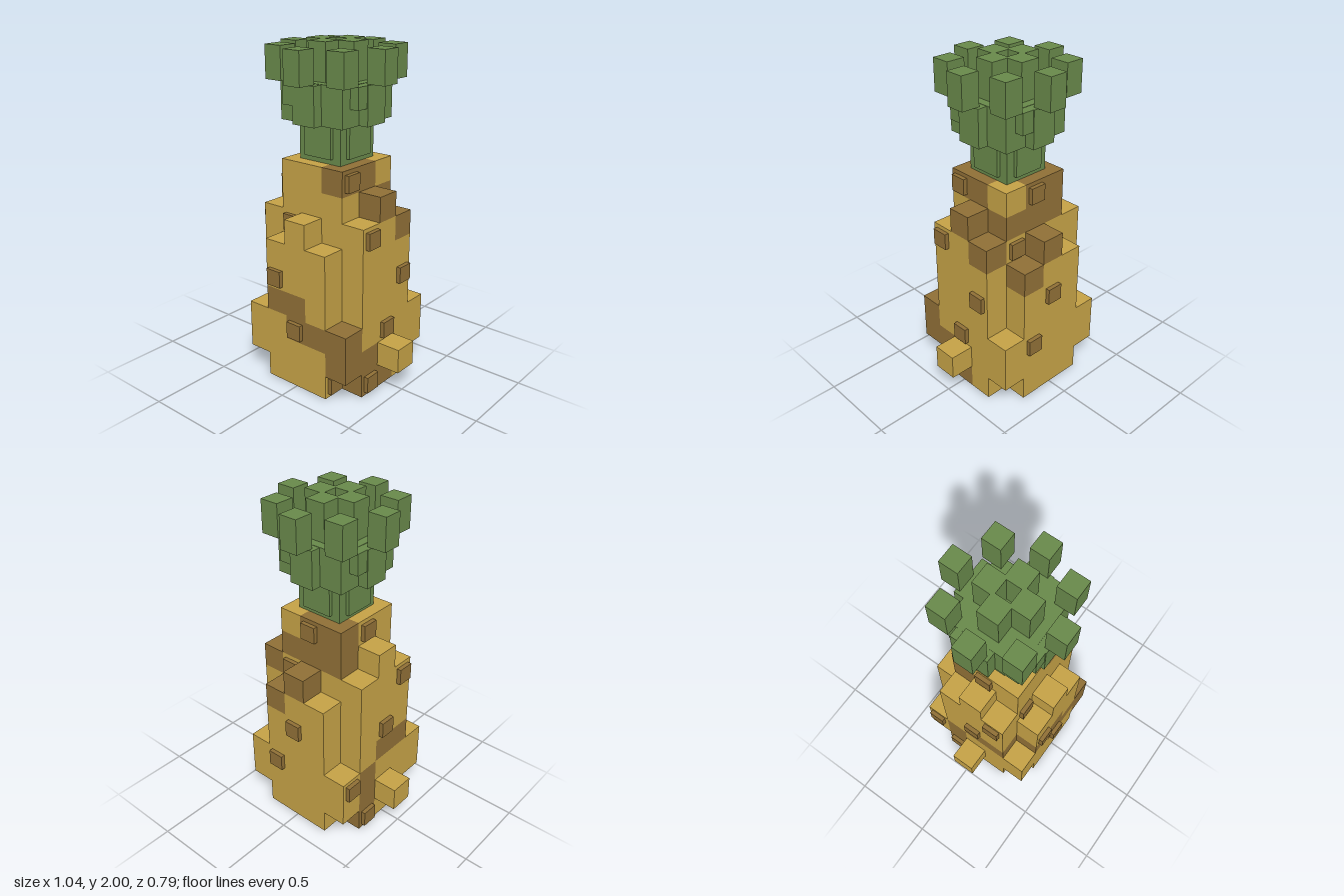
import * as THREE from 'three';
import { mergeGeometries } from 'three/addons/utils/BufferGeometryUtils.js';

const V = 1.333 / 9; // edge of one body block

const material = (name, color) => {
  const m = new THREE.MeshStandardMaterial({ color });
  m.name = name;
  return m;
};

// Box from minimum and maximum corners
function box(x0, x1, y0, y1, z0, z1) {
  return new THREE.BoxGeometry(x1 - x0, y1 - y0, z1 - z0)
    .translate((x0 + x1) / 2, (y0 + y1) / 2, (z0 + z1) / 2);
}

// Stepped fruit silhouette on a block grid (i = x, j = y, k = z)
function filled(i, j, k) {
  const a = Math.abs(i), b = Math.abs(k);
  if (j < 0) return false;
  if (a <= 1 && b <= 1) return j <= 8;
  if (a === 2 && b === 2) return j === 1 || j === 2;
  if (a === 2 && b < 2) return j <= (b === 0 ? 7 : 6);
  if (b === 2 && a < 2) return j <= (a === 0 ? 6 : 5);
  return a === 3 && b === 0 && j === 1;
}

// Blocks that belong to the dark patches
const PATCHES = new Set([
  '2,0,1', '2,0,0', '2,1,1', '2,1,2', '2,2,2', '1,2,2', '0,2,2',
  '0,3,2', '-1,3,2', '-2,3,1', '-2,3,0', '-2,2,-1', '-2,1,-1', '-2,0,-1',
  '1,5,-2', '0,6,-2', '2,6,-1', '2,7,0', '1,7,-1', '0,7,-1', '-1,7,-1',
  '1,8,1', '1,8,0', '0,8,-1', '-1,8,-1',
]);

const SIDES = [[1, 0, 0], [-1, 0, 0], [0, 1, 0], [0, -1, 0], [0, 0, 1], [0, 0, -1]];

// Square face turned towards one of the six directions
function face([dx, dy, dz], i, j, k) {
  const g = new THREE.PlaneGeometry(V, V);
  if (dy) g.rotateX(-dy * Math.PI / 2);
  else g.rotateY(Math.atan2(dx, dz));
  return g.translate((i + dx / 2) * V, (j + 0.5 + dy / 2) * V, (k + dz / 2) * V);
}

// Outer faces of the fruit, sorted by skin colour
function bodyFaces() {
  const light = [], dark = [];
  for (let i = -3; i <= 3; i++)
    for (let j = 0; j <= 8; j++)
      for (let k = -2; k <= 2; k++) {
        if (!filled(i, j, k)) continue;
        const list = PATCHES.has(`${i},${j},${k}`) ? dark : light;
        for (const d of SIDES)
          if (!filled(i + d[0], j + d[1], k + d[2])) list.push(face(d, i, j, k));
      }
  return { light, dark };
}

// Small studs: block i, j, k and the direction they stick out
const STUDS = [
  [-1, 6, 1, 0, 1], [-1, 4, 2, 0, 1], [0, 2, 2, 0, 1],
  [0, 4, -2, 0, -1], [1, 2, -2, 0, -1], [1, 6, -1, 0, -1], [0, 8, -1, 0, -1],
  [1, 0, 2, 1, 0], [2, 0, 1, 1, 0], [2, 2, 0, 1, 0], [2, 4, -1, 1, 0],
  [2, 6, 1, 1, 0], [1, 8, 1, 1, 0],
  [-2, 0, -1, -1, 0], [-2, 2, -2, -1, 0], [-2, 4, 0, -1, 0],
  [-2, 6, 1, -1, 0], [-1, 8, 0, -1, 0],
];

export function createModel() {
  const model = new THREE.Group();
  model.name = 'pineapple';
  const gold = material('golden skin', 0xc4a146);
  const brown = material('brown skin', 0x8f6f36);
  const green = material('leaf green', 0x68884a);

  const add = (parent, name, geometry, mat) => {
    const mesh = new THREE.Mesh(geometry, mat);
    mesh.name = name;
    parent.add(mesh);
    return mesh;
  };

  // Fruit
  const { light, dark } = bodyFaces();
  add(model, 'bodySkin', mergeGeometries(light), gold);
  add(model, 'bodyPatches', mergeGeometries(dark), brown);

  // Studs
  const studs = new THREE.Group();
  studs.name = 'studs';
  model.add(studs);
  for (const [i, j, k, dx, dz] of STUDS) {
    const out = 0.026;
    const stud = add(studs, 'stud',
      new THREE.BoxGeometry(dx ? out : 0.1, 0.1, dz ? out : 0.1), brown);
    stud.position.set(
      (i + dx / 2) * V + dx * out / 2,
      (j + 0.5) * V,
      (k + dz / 2) * V + dz * out / 2);
  }

  // Leaf crown
  const crown = new THREE.Group();
  crown.name = 'crown';
  model.add(crown);
  add(crown, 'crownStem', box(-0.148, 0.148, 1.333, 1.565, -0.148, 0.148), green);
  add(crown, 'crownMiddle', box(-0.22, 0.22, 1.56, 1.785, -0.22, 0.22), green);

  // Leaves repeated on the four sides
  for (let q = 0; q < 4; q++) {
    const side = new THREE.Group();
    side.name = 'crownSide';
    side.rotation.y = q * Math.PI / 2;
    crown.add(side);
    add(side, 'lowerLeaf', box(-0.095, 0.095, 1.365, 1.56, 0.148, 0.17), green);
    add(side, 'middleLeaf', box(-0.08, 0.075, 1.56, 1.783, 0.22, 0.28), green);
    add(side, 'middleSideLeaf', box(-0.155, -0.08, 1.66, 1.783, 0.22, 0.275), green);
    add(side, 'outerLeaf', box(-0.057, 0.057, 1.785, 1.975, 0.255, 0.37), green);
    add(side, 'cornerLeaf', box(0.162, 0.278, 1.785, 1.975, 0.162, 0.278), green);
    add(side, 'innerLeaf', box(-0.062, 0.062, 1.785, 2, 0.044, 0.168), green);
  }
  return model;
}
